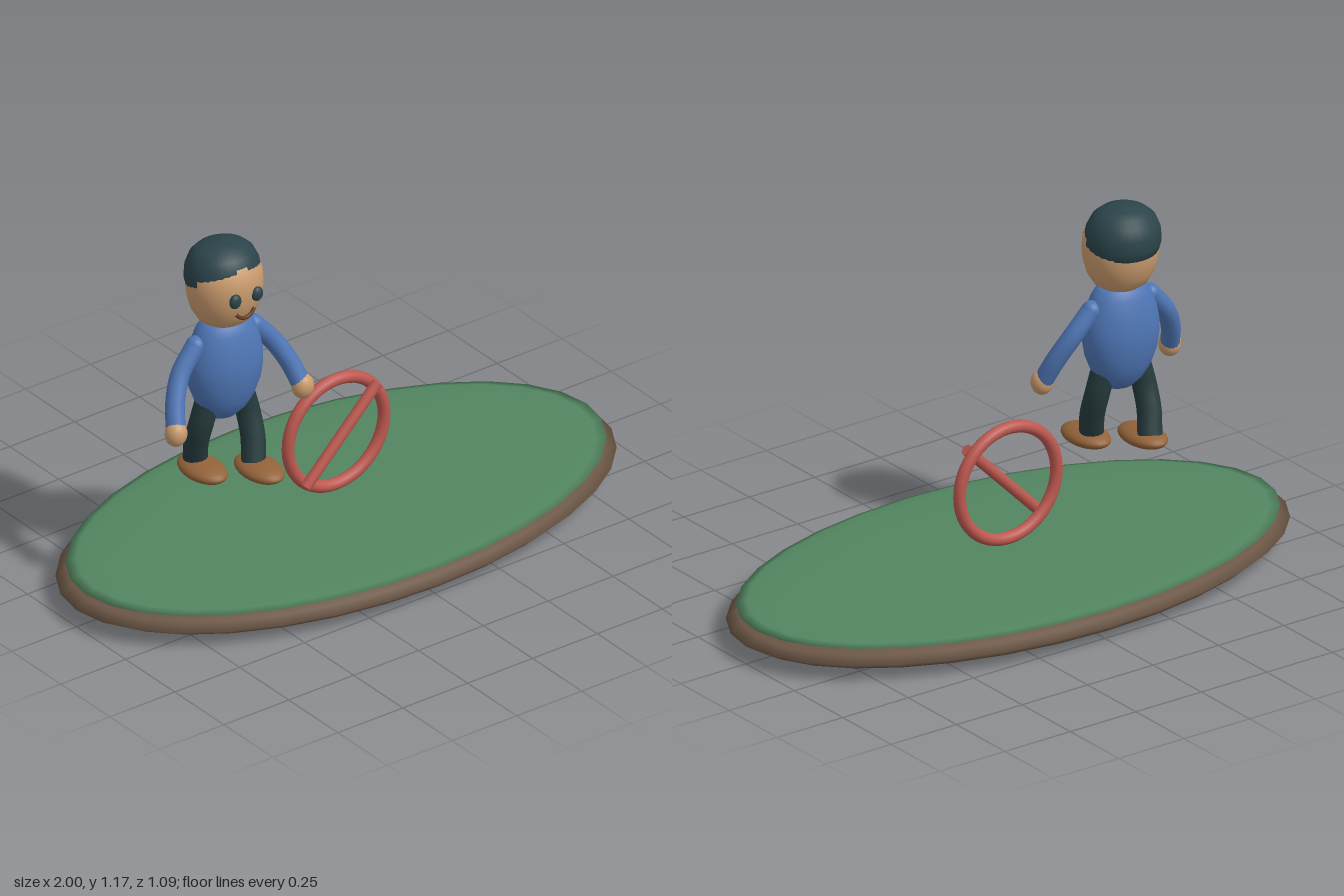
import * as THREE from 'three';

const material = (name, color) => {
  const m = new THREE.MeshStandardMaterial({ color });
  m.name = name;
  return m;
};

export function createModel() {
  const model = new THREE.Group();
  model.name = 'figureOnIsland';
  const soil = material('soil brown', 0x6b5645);
  const grass = material('grass green', 0x528560);
  const red = material('ring red', 0xbd584f);
  const skin = material('skin', 0xc99b6d);
  const blue = material('shirt blue', 0x4f76b6);
  const capTeal = material('cap teal', 0x2b444a);
  const trouserTeal = material('trouser teal', 0x263b3d);
  const leather = material('shoe brown', 0x93633b);
  const mouthBrown = material('mouth brown', 0x633c22);

  const add = (parent, name, geometry, mat, x = 0, y = 0, z = 0) => {
    const mesh = new THREE.Mesh(geometry, mat);
    mesh.name = name;
    mesh.position.set(x, y, z);
    parent.add(mesh);
    return mesh;
  };
  // Turned shape with an elliptical plan; profile runs [radius, y] upward
  const turned = (profile, sx, sz, segments = 32) => {
    const pts = profile.map(([r, y]) => new THREE.Vector2(r, y));
    return new THREE.LatheGeometry(pts, segments).scale(sx, 1, sz);
  };
  const ellipsoid = (rx, ry, rz) => new THREE.SphereGeometry(1, 24, 16).scale(rx, ry, rz);
  const tube = (points, radius) => new THREE.TubeGeometry(
    new THREE.CatmullRomCurve3(points.map(p => new THREE.Vector3(...p))), 20, radius, 14);

  // Flat oval island: a soil lens with a thinner grass lens on it
  const lens = (cy, h) => {
    const half = [[0, 1], [0.4, 0.95], [0.7, 0.82], [0.88, 0.64], [0.96, 0.38]];
    return [...half.map(([r, k]) => [r, cy - h * k]), [1, cy],
      ...half.slice().reverse().map(([r, k]) => [r, cy + h * k])];
  };
  add(model, 'soil', turned(lens(0.06, 0.058), 1, 0.545), soil);
  add(model, 'grass', turned(lens(0.105, 0.017), 0.965, 0.525), grass);

  // Ring with a diagonal bar in front
  const sign = new THREE.Group();
  sign.name = 'barredRing';
  sign.position.set(0, 0.345, 0);
  model.add(sign);
  add(sign, 'ring', new THREE.TorusGeometry(0.185, 0.02, 14, 48), red);
  const bar = add(sign, 'bar', new THREE.CylinderGeometry(0.018, 0.018, 0.39, 14), red, 0, 0, 0.028);
  bar.rotation.z = -Math.PI / 4;

  // Walking figure
  const figure = new THREE.Group();
  figure.name = 'figure';
  figure.position.x = -0.43;
  model.add(figure);

  add(figure, 'torso', turned([[0, 0.555], [0.03, 0.562], [0.055, 0.59], [0.074, 0.63],
    [0.088, 0.68], [0.094, 0.73], [0.094, 0.77], [0.087, 0.82], [0.074, 0.87],
    [0.06, 0.898], [0.048, 0.905], [0, 0.907]], 1.4, 1), blue);
  add(figure, 'head', turned([[0, 0.886], [0.05, 0.893], [0.08, 0.915], [0.1, 0.95],
    [0.111, 0.99], [0.115, 1.03], [0.111, 1.075], [0.09, 1.115], [0, 1.14]], 1.08, 1), skin);
  const cap = add(figure, 'cap', turned([[0, -0.05], [0.095, -0.048], [0.107, -0.038],
    [0.113, -0.01], [0.109, 0.03], [0.094, 0.066], [0.072, 0.087], [0.04, 0.099],
    [0, 0.103]], 1.1, 1), capTeal, 0, 1.065 + 0.045 - 0.042, 0);
  cap.position.set(0, 1.066 + 0.044 - 0.043, -0.011);
  cap.position.y = 1.066;
  cap.geometry.translate(0, 0.04 - 0.04, 0);
  cap.rotation.x = -0.08;
  cap.scale.y = 1;

  // Face
  for (const side of [-1, 1]) {
    add(figure, side > 0 ? 'leftEye' : 'rightEye', ellipsoid(0.021, 0.024, 0.014),
      capTeal, side * 0.042, 1.023, 0.111);
  }
  add(figure, 'mouth', tube([[-0.036, 0.973, 0.104], [-0.02, 0.957, 0.107],
    [0, 0.951, 0.107], [0.02, 0.957, 0.107], [0.036, 0.973, 0.104]], 0.006), mouthBrown);

  // Arms and hands mirrored; legs in mid stride, left foot forward
  for (const side of [-1, 1]) {
    const label = side > 0 ? 'left' : 'right';
    add(figure, label + 'Arm', tube([[side * 0.112, 0.842, 0], [side * 0.178, 0.765, 0.01],
      [side * 0.219, 0.69, 0.038], [side * 0.242, 0.615, 0.072]], 0.031), blue);
    add(figure, label + 'Shoulder', ellipsoid(0.031, 0.031, 0.031), blue, side * 0.112, 0.842, 0);
    add(figure, label + 'Hand', ellipsoid(0.036, 0.042, 0.034), skin, side * 0.244, 0.609, 0.076);

    add(figure, label + 'Leg', tube([[side * 0.062, 0.64, 0], [side * 0.082, 0.55, side * 0.01],
      [side * 0.082, 0.47, side * 0.036], [side * 0.067, 0.395, side * 0.06]], 0.039), trouserTeal);
    add(figure, label + 'Shoe', ellipsoid(0.063, 0.03, 0.1), leather,
      side * 0.07, 0.38, side > 0 ? 0.085 : -0.02);
  }
  return model;
}
